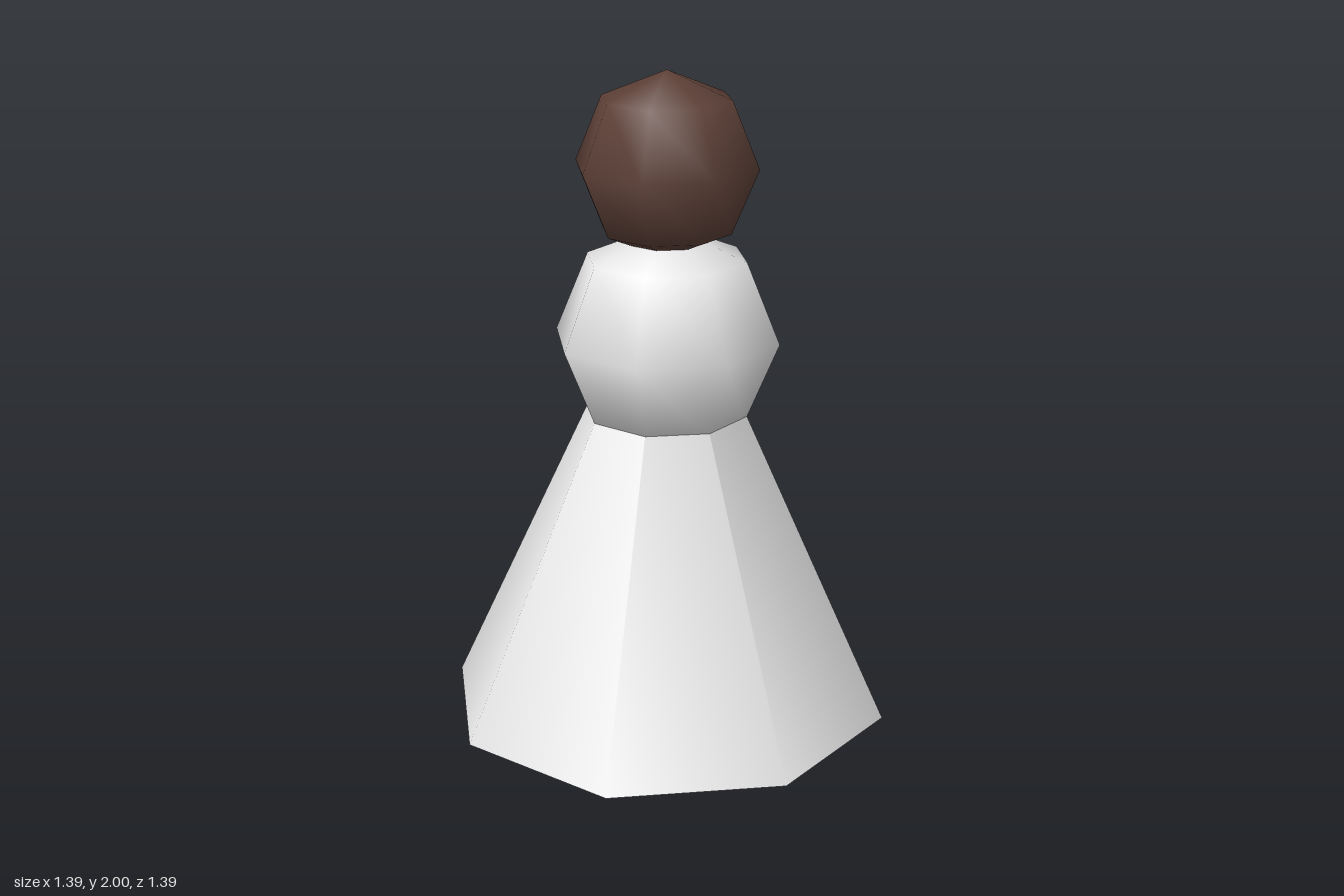
import * as THREE from 'three';

export function createModel() {
  const group = new THREE.Group();
  const cloth = new THREE.MeshStandardMaterial({ color: 0xffffff, side: THREE.DoubleSide });
  cloth.name = 'white cloth';
  const brown = new THREE.MeshStandardMaterial({ color: 0x5d4037 });
  brown.name = 'dark brown';

  const add = (name, geometry, material, y) => {
    const mesh = new THREE.Mesh(geometry, material);
    mesh.name = name;
    mesh.position.y = y;
    group.add(mesh);
  };

  // Hollow eight-sided skirt, open at the floor, its tip hidden in the torso
  const height = 1.5;
  add('skirt', new THREE.ConeGeometry(0.695, height, 8, 1, true), cloth, height / 2);

  // Coarse smooth-shaded balls stacked on the skirt
  add('torso', new THREE.SphereGeometry(0.348, 8, 4), cloth, 1.193);
  add('head', new THREE.SphereGeometry(0.28, 8, 4), brown, 1.72);

  return group;
}
